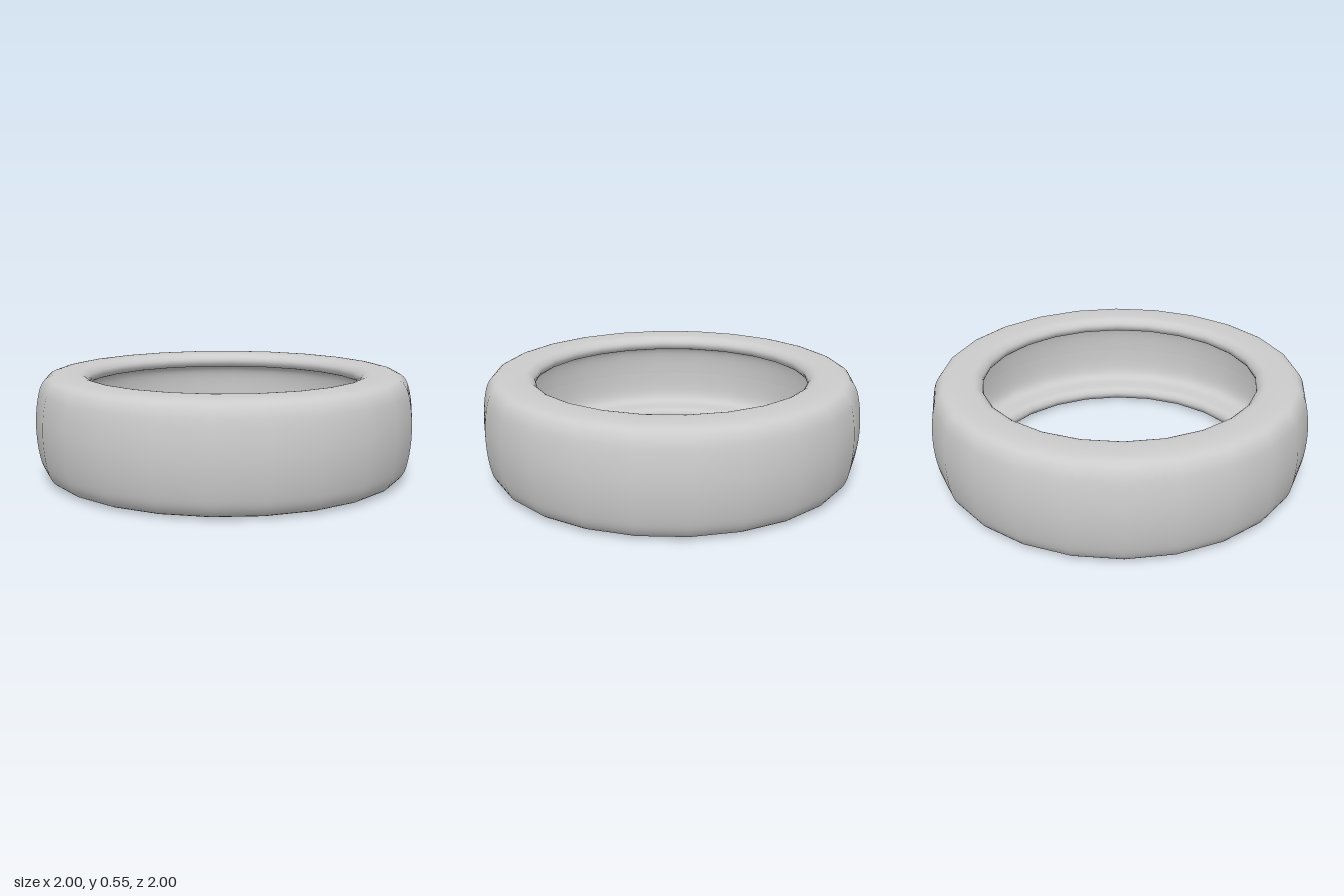
import * as THREE from 'three';

export function createModel() {
  const group = new THREE.Group();
  group.name = 'tyre';
  const height = 0.546, mid = height / 2;

  // Upper half of the cross-section (radius, height above the middle), from tread to cavity
  const half = [
    [1, 0], [0.995, 0.09], [0.982, 0.17], [0.965, 0.22], [0.935, 0.256], [0.88, 0.271],
    [0.79, 0.272], [0.745, 0.262], [0.72, 0.23], [0.737, 0.195], [0.785, 0.187],
    [0.845, 0.178], [0.877, 0.145], [0.89, 0.08], [0.893, 0],
  ];
  const upper = half.map(([r, y]) => new THREE.Vector2(r, mid + y));
  const lower = half.map(([r, y]) => new THREE.Vector2(r, mid - y)).reverse();

  // Closed loop: starts and ends at the middle of the inner wall
  const curve = new THREE.SplineCurve([...lower, ...upper.slice(1)]);
  const profile = curve.getPoints(84);
  for (const p of profile) p.y = THREE.MathUtils.clamp(p.y, 0, height);

  const tyre = new THREE.Mesh(
    new THREE.LatheGeometry(profile, 24),
    new THREE.MeshStandardMaterial({ color: 0xcccccc }),
  );
  tyre.name = 'tyreBody';
  group.add(tyre);
  return group;
}
